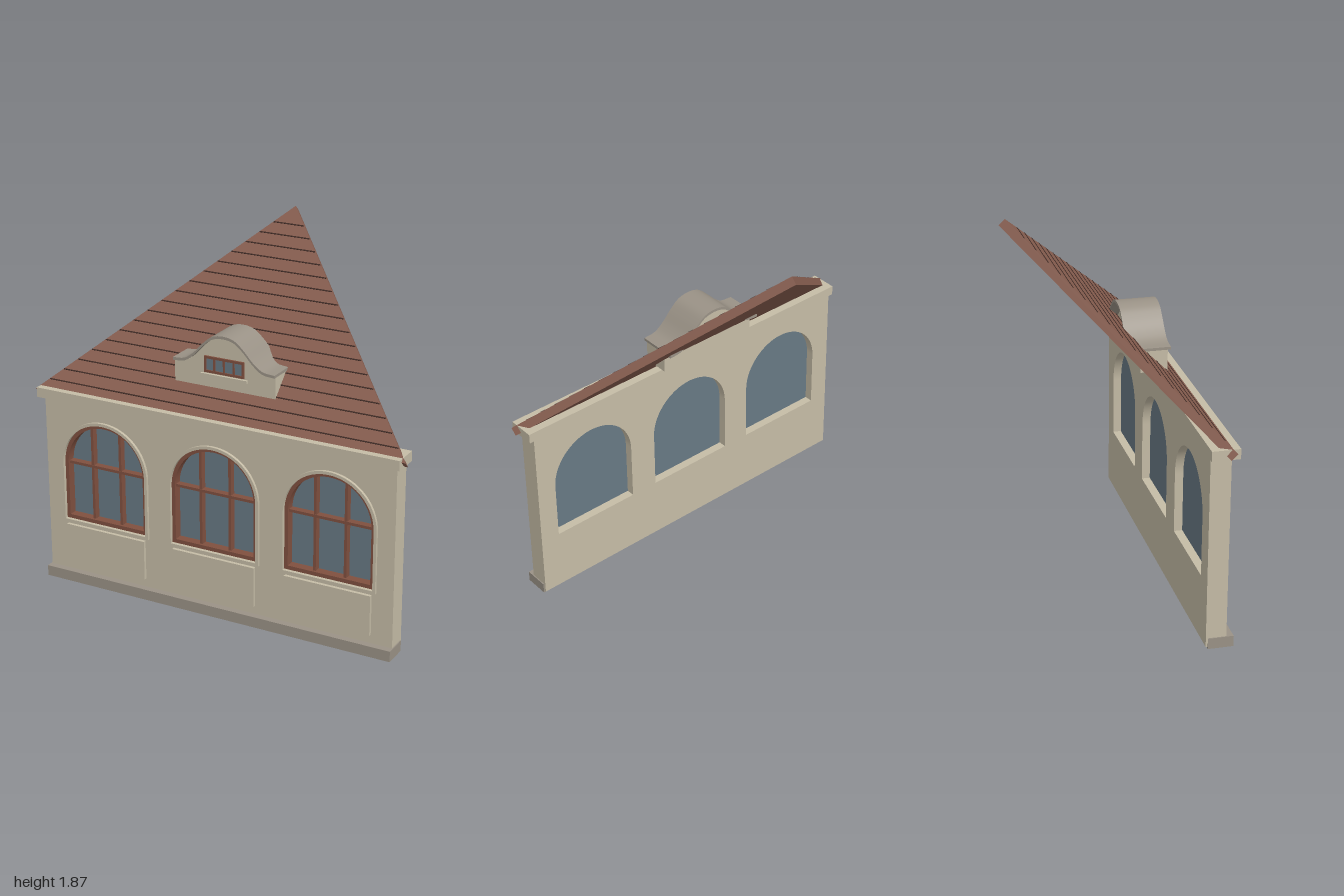
import * as THREE from 'three';
import { toCreasedNormals } from 'three/addons/utils/BufferGeometryUtils.js';

const mat = (name, color) => {
  const m = new THREE.MeshStandardMaterial({ color });
  m.name = name;
  return m;
};

export function createModel() {
  const plaster = mat('plaster', 0xc5bca6);
  const stone = mat('stone', 0x9a9286);
  const tile = mat('roof tile', 0x865d4f);
  const joint = mat('tile joint', 0x3c2822);
  const wood = mat('window wood', 0x80503f);
  const glass = mat('glass', 0x687984);

  const model = new THREE.Group();
  model.name = 'facade';

  const add = (parent, name, geometry, material, x = 0, y = 0, z = 0) => {
    const m = new THREE.Mesh(geometry, material);
    m.name = name;
    m.position.set(x, y, z);
    parent.add(m);
    return m;
  };
  // Box given by its limits on each axis
  const box = (parent, name, material, x0, x1, y0, y1, z0, z1) =>
    add(parent, name, new THREE.BoxGeometry(x1 - x0, y1 - y0, z1 - z0), material,
      (x0 + x1) / 2, (y0 + y1) / 2, (z0 + z1) / 2);
  const extrude = (shape, depth) => toCreasedNormals(
    new THREE.ExtrudeGeometry(shape, { depth, bevelEnabled: false, curveSegments: 24 }), 0.5);

  // Round-headed opening outline
  const SPRING = 0.64;
  const arch = (r, bottom, cx = 0, Type = THREE.Shape) => {
    const s = new Type();
    s.moveTo(cx - r, bottom);
    s.lineTo(cx + r, bottom);
    s.lineTo(cx + r, SPRING);
    s.absarc(cx, SPRING, r, 0, Math.PI, false);
    s.lineTo(cx - r, bottom);
    return s;
  };
  const archRing = (rOut, bOut, rIn, bIn) => {
    const s = arch(rOut, bOut);
    s.holes.push(arch(rIn, bIn, 0, THREE.Path));
    return s;
  };

  // Wall with three openings
  const bays = [-0.617, 0, 0.617];
  const wallShape = new THREE.Shape([
    [-0.955, 0.01], [0.955, 0.01], [0.955, 1], [-0.955, 1],
  ].map(([x, y]) => new THREE.Vector2(x, y)));
  bays.forEach((x) => wallShape.holes.push(arch(0.235, 0.335, x, THREE.Path)));
  add(model, 'wall', extrude(wallShape, 0.1), plaster, 0, 0, 0.32);
  box(model, 'plinth', stone, -0.96, 0.96, 0, 0.055, 0.33, 0.455);
  box(model, 'cornice', plaster, -0.98, 0.98, 0.975, 1.025, 0.318, 0.455);

  // Arched windows with the panels below them
  bays.forEach((x) => {
    const w = new THREE.Group();
    w.name = 'archedWindow';
    w.position.x = x;
    model.add(w);
    add(w, 'surround', extrude(archRing(0.25, 0.32, 0.235, 0.335), 0.02), plaster, 0, 0, 0.415);
    add(w, 'frame', extrude(archRing(0.235, 0.335, 0.216, 0.355), 0.045), wood, 0, 0, 0.372);
    add(w, 'pane', extrude(arch(0.234, 0.336), 0.01), glass, 0, 0, 0.362);
    for (const s of [-1, 1]) {
      box(w, 'mullion', wood, s * 0.08 - 0.007, s * 0.08 + 0.007, 0.35, 0.848, 0.37, 0.405);
    }
    box(w, 'transom', wood, -0.22, 0.22, 0.632, 0.646, 0.37, 0.407);
    box(w, 'panel', plaster, -0.227, 0.227, 0.1, 0.307, 0.415, 0.437);
  });

  // Triangular roof slab leaning back at 45 degrees, with rows of tile joints
  const roof = new THREE.Group();
  roof.name = 'roof';
  roof.position.set(0, 0.98, 0.405);
  roof.rotation.x = -Math.PI / 4;
  model.add(roof);
  const L = 1.21, T = 0.042;
  const triangle = new THREE.Shape([
    new THREE.Vector2(-1, 0), new THREE.Vector2(1, 0), new THREE.Vector2(0, L),
  ]);
  add(roof, 'roofSlab', new THREE.ExtrudeGeometry(triangle, { depth: T, bevelEnabled: false }), tile);
  for (let i = 1; i <= 17; i++) {
    const s = i * 0.065;
    const half = 1 - (s + 0.004) / L;
    box(roof, 'tileJoint', joint, -half, half, s - 0.003, s + 0.003, T - 0.003, T + 0.002);
  }

  // Curved dormer gable: body and overhanging cap share one profile
  const dormer = new THREE.Group();
  dormer.name = 'dormer';
  model.add(dormer);
  const half = [[0, 1.41], [0.06, 1.398], [0.11, 1.358], [0.16, 1.305], [0.21, 1.27], [0.275, 1.262]];
  const profile = new THREE.CatmullRomCurve3([
    ...half.slice(1).reverse().map(([x, y]) => new THREE.Vector3(-x, y, 0)),
    ...half.map(([x, y]) => new THREE.Vector3(x, y, 0)),
  ]).getPoints(40).map((p) => new THREE.Vector2(p.x, p.y));
  const lowered = profile.map((p) => new THREE.Vector2(p.x, p.y - 0.014));
  const bodyShape = new THREE.Shape([
    new THREE.Vector2(0.272, 1.14), new THREE.Vector2(-0.272, 1.14),
    ...lowered.map((p) => new THREE.Vector2(p.x * 0.99, p.y)),
  ]);
  add(dormer, 'dormerBody', extrude(bodyShape, 0.133), plaster, 0, 0, 0.172);
  const capShape = new THREE.Shape([...profile, ...lowered.reverse()]);
  add(dormer, 'dormerCap', extrude(capShape, 0.2), stone, 0, 0, 0.12);

  // Small dormer window
  box(dormer, 'dormerPane', glass, -0.1, 0.1, 1.22, 1.29, 0.3, 0.308);
  for (const y of [1.22, 1.29]) {
    box(dormer, 'dormerRail', wood, -0.107, 0.107, y - 0.006, y + 0.006, 0.3, 0.314);
  }
  for (const x of [-0.102, -0.052, 0, 0.052, 0.102]) {
    box(dormer, 'dormerBar', wood, x - 0.005, x + 0.005, 1.22, 1.29, 0.3, 0.313);
  }
  box(dormer, 'dormerSill', plaster, -0.126, 0.126, 1.194, 1.208, 0.3, 0.318);

  return model;
}
